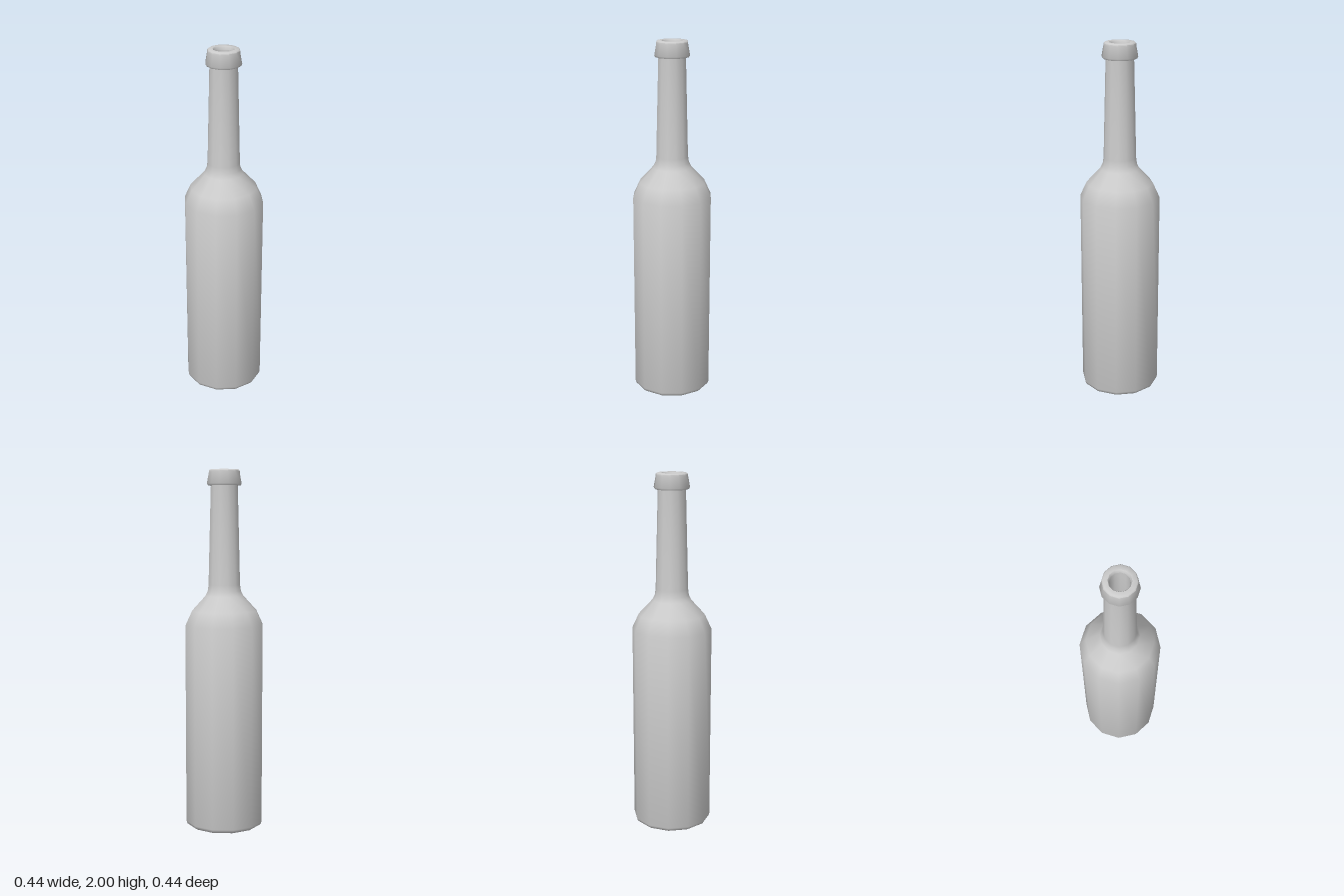
import * as THREE from 'three';
import { toCreasedNormals } from 'three/addons/utils/BufferGeometryUtils.js';

const SIDES = 12;
const material = new THREE.MeshStandardMaterial({ color: 0xcccccc });

// Turned part from [radius, height] pairs; edges sharper than 50 degrees stay crisp
function turned(name, profile) {
  const points = profile.map(([r, y]) => new THREE.Vector2(r, y));
  const geometry = toCreasedNormals(new THREE.LatheGeometry(points, SIDES), THREE.MathUtils.degToRad(50));
  const mesh = new THREE.Mesh(geometry, material);
  mesh.name = name;
  return mesh;
}

export function createModel() {
  const bottle = new THREE.Group();
  bottle.name = 'bottle';

  // Base, straight body, rounded shoulder and tapering neck
  bottle.add(turned('body', [
    [0, 0], [0.207, 0], [0.217, 0.007], [0.222, 0.022],
    [0.222, 1.145], [0.185, 1.225], [0.108, 1.308], [0.095, 1.335], [0.09, 1.37], [0.076, 1.918],
  ]));

  // Flared lip with a chamfered rim around the mouth
  bottle.add(turned('lip', [
    [0.076, 1.914], [0.092, 1.914], [0.098, 1.924], [0.087, 1.985],
    [0.087, 1.994], [0.081, 2], [0.058, 2], [0.054, 1.994], [0.051, 1.98],
  ]));

  // Hollow interior, from the mouth down to the floor
  bottle.add(turned('interior', [
    [0.051, 1.98], [0.051, 1.914], [0.066, 1.36], [0.085, 1.3], [0.165, 1.215],
    [0.2, 1.14], [0.2, 0.03], [0, 0.03],
  ]));

  return bottle;
}
